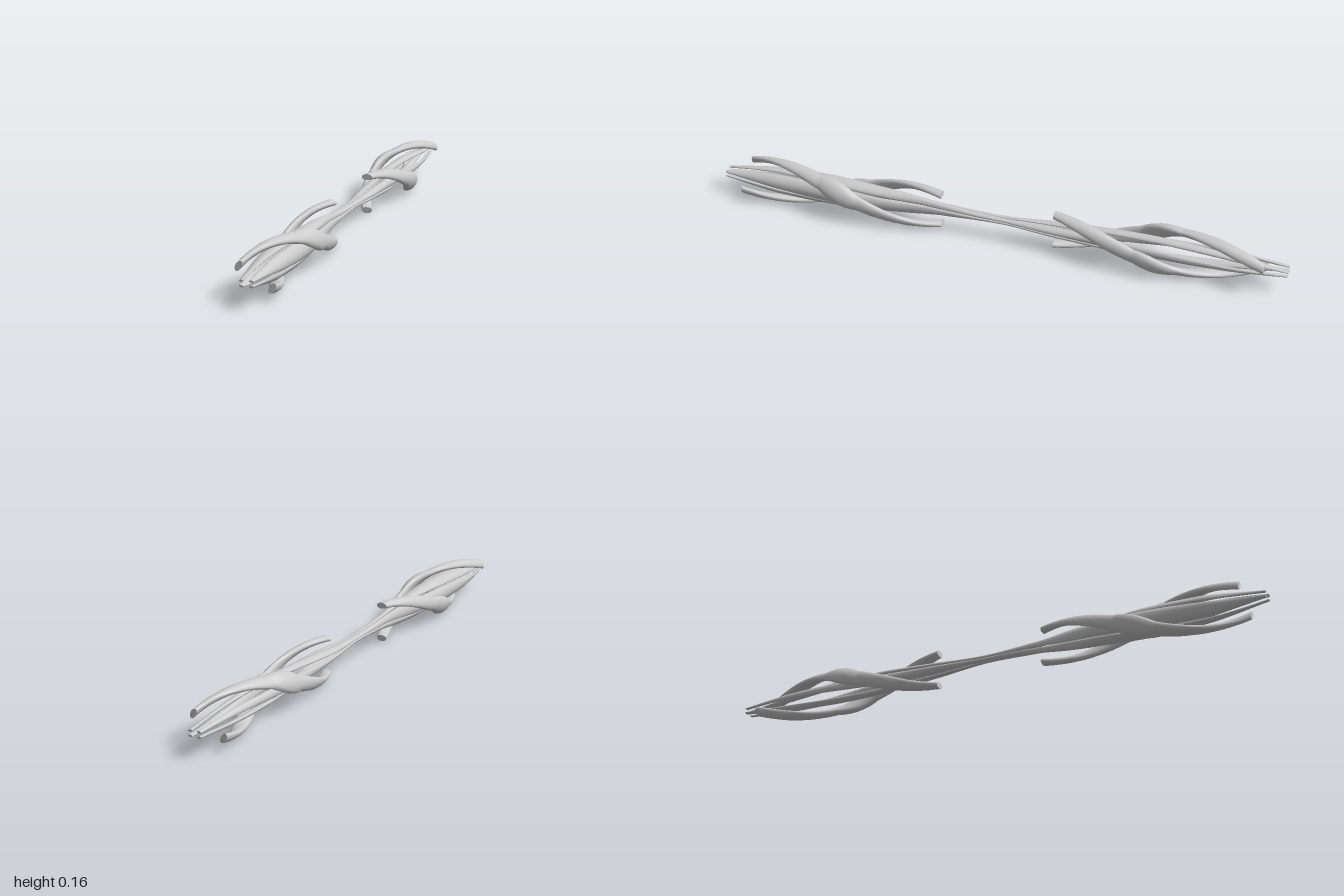
import * as THREE from 'three';

const AXIS_Y = 0.079;
const rad = THREE.MathUtils.degToRad;
const material = new THREE.MeshStandardMaterial({ color: 0xcccccc });

// Sweeps an oval section, curved around the z axis, from z0 to z1. Each key is
// (distance from axis, half width around it, half thickness), evenly spaced.
// flatten(z) widens the section in x and lowers it in y.
function strand(name, z0, z1, keys, angleAt, flatten = () => 0) {
  const curve = new THREE.CatmullRomCurve3(keys.map(k => new THREE.Vector3(...k)));
  const steps = 80, sides = 16;
  const pos = [], index = [];
  for (let i = 0; i <= steps; i++) {
    const u = i / steps, z = z0 + (z1 - z0) * u;
    const { x: r, y: w, z: t } = curve.getPoint(u);
    const e = flatten(z);
    for (let j = 0; j < sides; j++) {
      const b = (j / sides) * Math.PI * 2;
      const a = angleAt(z, u) + (w / r) * Math.sin(b);
      const d = r + t * Math.cos(b);
      pos.push(d * Math.cos(a) * (1 + e), d * Math.sin(a) * (1 - e), z);
    }
  }
  for (let i = 0; i < steps; i++) {
    for (let j = 0; j < sides; j++) {
      const p = i * sides + j, q = i * sides + (j + 1) % sides;
      index.push(p, q, q + sides, p, q + sides, p + sides);
    }
  }
  // flat end caps on their own vertices, zipped across the curved section
  for (const end of [0, steps]) {
    const base = pos.length / 3;
    pos.push(...pos.slice(end * sides * 3, (end + 1) * sides * 3));
    for (let j = 0; j < sides / 2; j++) {
      const a = base + (j + sides / 4) % sides, b = base + (j + 1 + sides / 4) % sides;
      const d = base + (sides / 4 - j + sides) % sides;
      const c = base + (sides / 4 - j - 1 + sides) % sides;
      if (end) index.push(a, b, c, a, c, d);
      else index.push(a, c, b, a, d, c);
    }
  }
  const geometry = new THREE.BufferGeometry();
  geometry.setAttribute('position', new THREE.Float32BufferAttribute(pos, 3));
  geometry.setIndex(index);
  geometry.computeVertexNormals();
  const mesh = new THREE.Mesh(geometry, material);
  mesh.name = name;
  return mesh;
}

// Two broad outer blades spiralling around one end
function guard(name) {
  const group = new THREE.Group();
  group.name = name;
  const keys = [
    [0.060, 0.019, 0.011], [0.064, 0.025, 0.013], [0.065, 0.028, 0.014],
    [0.065, 0.028, 0.014], [0.064, 0.025, 0.013], [0.061, 0.018, 0.010],
  ];
  for (const start of [-90, 90]) {
    group.add(strand('spiralBlade', 0.2, 0.925, keys, (z, u) => rad(start + 240 * u)));
  }
  return group;
}

// Four twisted inner strands: slim at the back, pinched at the grip,
// closing into a bulb at the front, splitting into prongs at both tips
function core() {
  const group = new THREE.Group();
  group.name = 'core';
  const keys = [
    [0.017, 0.006, 0.005], [0.031, 0.012, 0.007], [0.036, 0.016, 0.008],
    [0.032, 0.018, 0.008], [0.023, 0.015, 0.007], [0.011, 0.008, 0.005],
    [0.015, 0.011, 0.007], [0.034, 0.025, 0.008], [0.044, 0.033, 0.008],
    [0.039, 0.027, 0.008], [0.017, 0.006, 0.005],
  ];
  // broad in x behind the grip, tall in y before it, flat at both tips
  const bump = (z, centre, width) => Math.exp(-(((z - centre) / width) ** 2));
  const flatten = z => 0.25 * (bump(z, -0.12, 0.2) - bump(z, 0.25, 0.12)) + 0.3 * z ** 8;
  for (let k = 0; k < 4; k++) {
    group.add(strand('coreStrand', -1, 1, keys, z => rad(45 + 90 * k + 90 * z), flatten));
  }
  return group;
}

export function createModel() {
  const model = new THREE.Group();
  model.name = 'twistedStaff';
  const front = guard('frontGuard');
  const back = guard('backGuard');
  back.rotation.y = Math.PI;
  model.add(front, back, core());
  model.children.forEach(part => { part.position.y = AXIS_Y; });
  return model;
}
